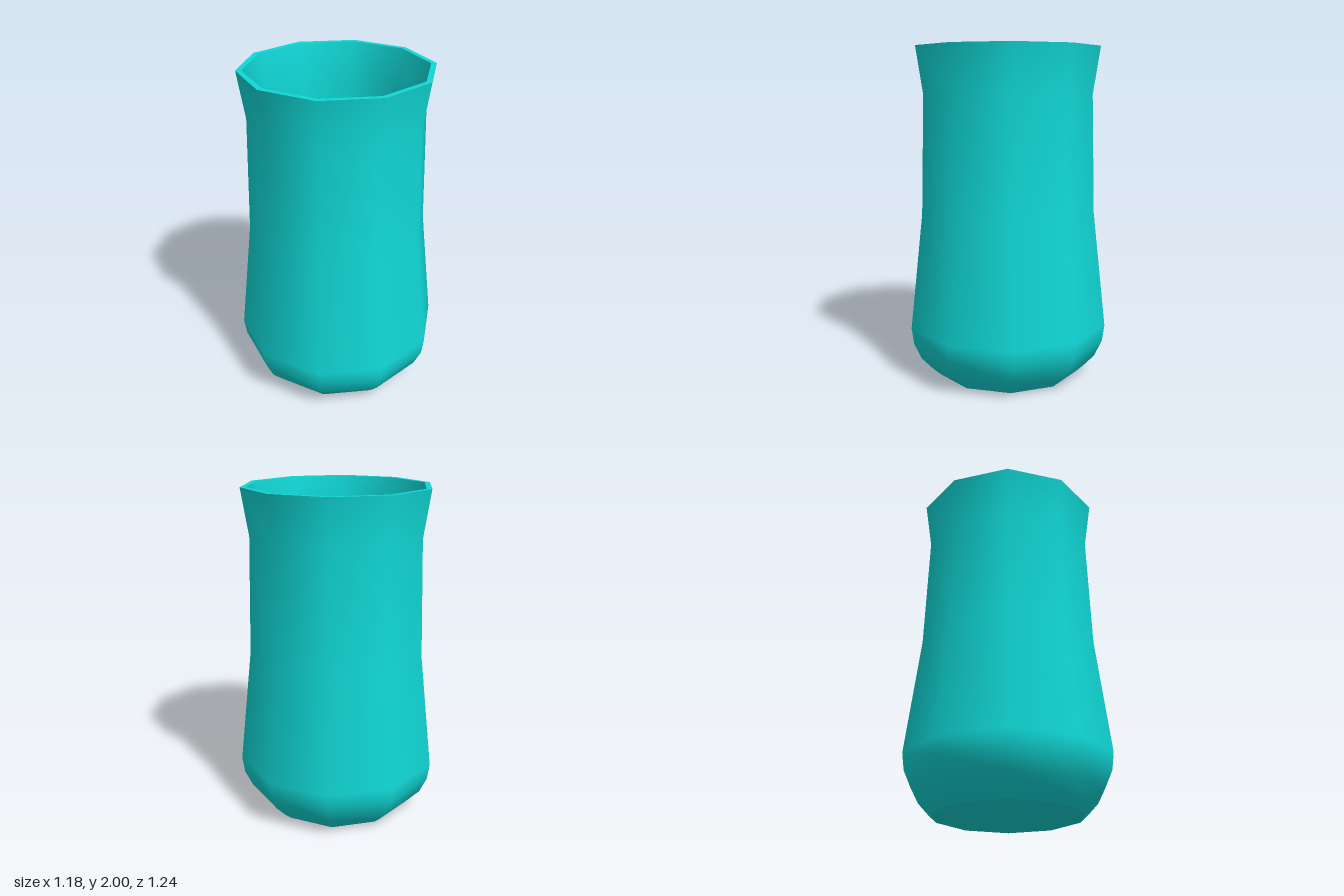
import * as THREE from 'three';

const SIDES = 10;

// Ten-sided ring surface from [radius, height] points; it faces outward when the points run upward.
function ring(name, points, material) {
  const profile = points.map(([r, y]) => new THREE.Vector2(r, y));
  const mesh = new THREE.Mesh(new THREE.LatheGeometry(profile, SIDES), material);
  mesh.name = name;
  return mesh;
}

export function createModel() {
  const vase = new THREE.Group();
  vase.name = 'vase';
  const glaze = new THREE.MeshStandardMaterial({ color: 0x10d8d6 });
  const water = new THREE.MeshStandardMaterial({ color: 0x3a2ed0 });

  const outer = [
    [0.44, 0], [0.49, 0.045], [0.56, 0.12], [0.606, 0.22],
    [0.62, 0.32], [0.54, 1.02], [0.52, 1.72], [0.563, 2],
  ];
  // Inside wall, running downward so that it faces the axis
  const inner = [
    [0.53, 2], [0.485, 1.72], [0.505, 1.02], [0.585, 0.32],
    [0.57, 0.23], [0.53, 0.15], [0.42, 0.05],
  ];

  vase.add(
    ring('outerWall', outer, glaze),
    ring('rim', [outer[outer.length - 1], inner[0]], glaze),
    ring('innerWall', inner, glaze),
    ring('innerFloor', [[0.42, 0.05], [0, 0.05]], glaze),
    ring('base', [[0, 0], [0.44, 0]], glaze),
    ring('waterSurface', [[0.505, 1.02], [0, 1.02]], water),
  );
  return vase;
}
